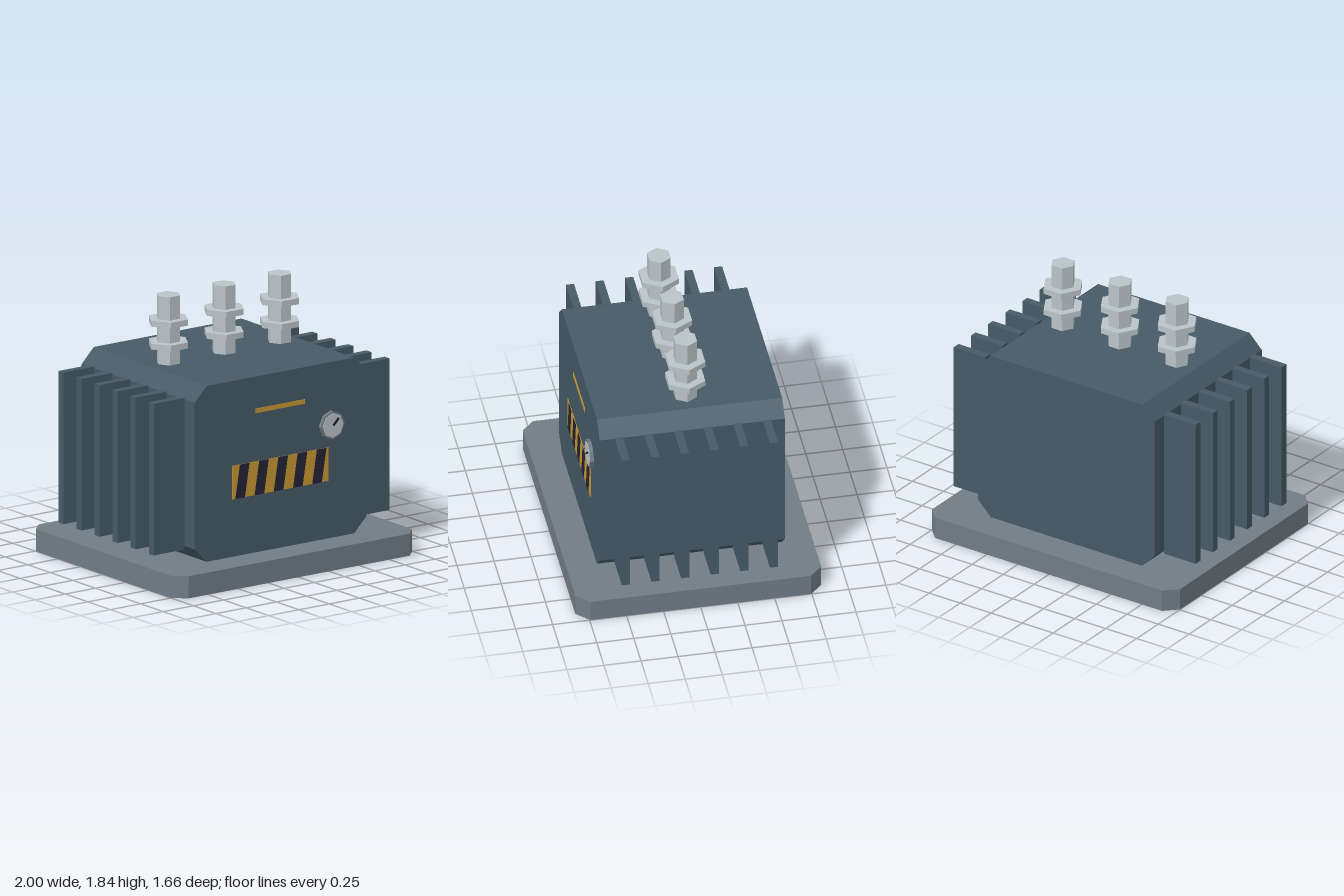
import * as THREE from 'three';

const mat = (name, color) => {
  const m = new THREE.MeshStandardMaterial({ color });
  m.name = name;
  return m;
};

// Rectangle with four cut corners, as a shape centred on the origin
function chamferedRect(hw, hh, cx, cy = cx) {
  return new THREE.Shape([
    [-hw + cx, -hh], [hw - cx, -hh], [hw, -hh + cy], [hw, hh - cy],
    [hw - cx, hh], [-hw + cx, hh], [-hw, hh - cy], [-hw, -hh + cy],
  ].map(([x, y]) => new THREE.Vector2(x, y)));
}

const extrude = (shape, depth) =>
  new THREE.ExtrudeGeometry(shape, { depth, bevelEnabled: false }).translate(0, 0, -depth / 2);

// Prism with flat sides and a corner pointing along x
const prism = (radius, height, sides) =>
  new THREE.CylinderGeometry(radius, radius, height, sides).toNonIndexed().rotateY(Math.PI / 2);

export function createModel() {
  const blue = mat('tankBlue', 0x465a67);
  const grey = mat('baseGrey', 0x717c86);
  const pale = mat('porcelainGrey', 0xbac3c7);
  const rimGrey = mat('rimGrey', 0x717c86);
  const yellow = mat('warningYellow', 0xc99832);
  const dark = mat('stripeDark', 0x232338);
  const black = mat('needleBlack', 0x15181c);
  const model = new THREE.Group();
  model.name = 'transformer';

  const add = (parent, name, geometry, material, x = 0, y = 0, z = 0) => {
    const mesh = new THREE.Mesh(geometry, material);
    geometry.computeVertexNormals();
    mesh.name = name;
    mesh.position.set(x, y, z);
    parent.add(mesh);
    return mesh;
  };

  // Plinth and tank
  add(model, 'base', extrude(chamferedRect(1, 0.83, 0.085), 0.152).rotateX(-Math.PI / 2), grey, 0, 0.076);
  add(model, 'tank', extrude(chamferedRect(0.71, 0.603, 0.1), 1.25), blue, 0, 0.762);

  // Cooling fins on both sides
  const fins = new THREE.Group();
  fins.name = 'coolingFins';
  model.add(fins);
  for (const side of [-1, 1]) {
    for (let i = 0; i < 6; i++) {
      add(fins, 'fin', new THREE.BoxGeometry(0.255, 1.04, 0.055), blue, side * 0.8475, 0.76, -0.5 + i * 0.2);
    }
  }

  // Three hexagonal bushings, each with two collars
  for (const x of [-0.46, 0, 0.46]) {
    const bushing = new THREE.Group();
    bushing.name = 'bushing';
    bushing.position.x = x;
    model.add(bushing);
    add(bushing, 'core', prism(0.083, 0.468, 6), pale, 0, 1.603);
    for (const y of [1.5, 1.657]) add(bushing, 'collar', prism(0.141, 0.041, 6), pale, 0, y);
  }

  // Painted markings on the front
  const front = 0.625;
  add(model, 'namePlate', new THREE.BoxGeometry(0.405, 0.031, 0.004), yellow, -0.002, 1.13, front + 0.002);
  add(model, 'warningPanel', new THREE.BoxGeometry(0.795, 0.23, 0.004), yellow, -0.002, 0.669, front + 0.002);
  const stripe = new THREE.Shape([
    new THREE.Vector2(-0.058, -0.115), new THREE.Vector2(0.02, -0.115),
    new THREE.Vector2(0.058, 0.115), new THREE.Vector2(-0.02, 0.115),
  ]);
  for (let i = 0; i < 5; i++) {
    add(model, 'warningStripe', extrude(stripe, 0.003), dark, -0.318 + i * 0.159, 0.669, front + 0.005);
  }

  // Round gauge with needle
  const gauge = new THREE.Group();
  gauge.name = 'gauge';
  gauge.position.set(0.415, 0.937, front);
  model.add(gauge);
  add(gauge, 'gaugeRim', prism(0.097, 0.025, 8).rotateX(Math.PI / 2), rimGrey, 0, 0, 0.0125);
  add(gauge, 'gaugeFace', prism(0.085, 0.006, 8).rotateX(Math.PI / 2), pale, 0, 0, 0.026);
  const needle = add(gauge, 'gaugeNeedle', new THREE.BoxGeometry(0.064, 0.011, 0.01), black, 0.02, 0.023, 0.034);
  needle.rotation.z = Math.PI / 4;

  return model;
}
